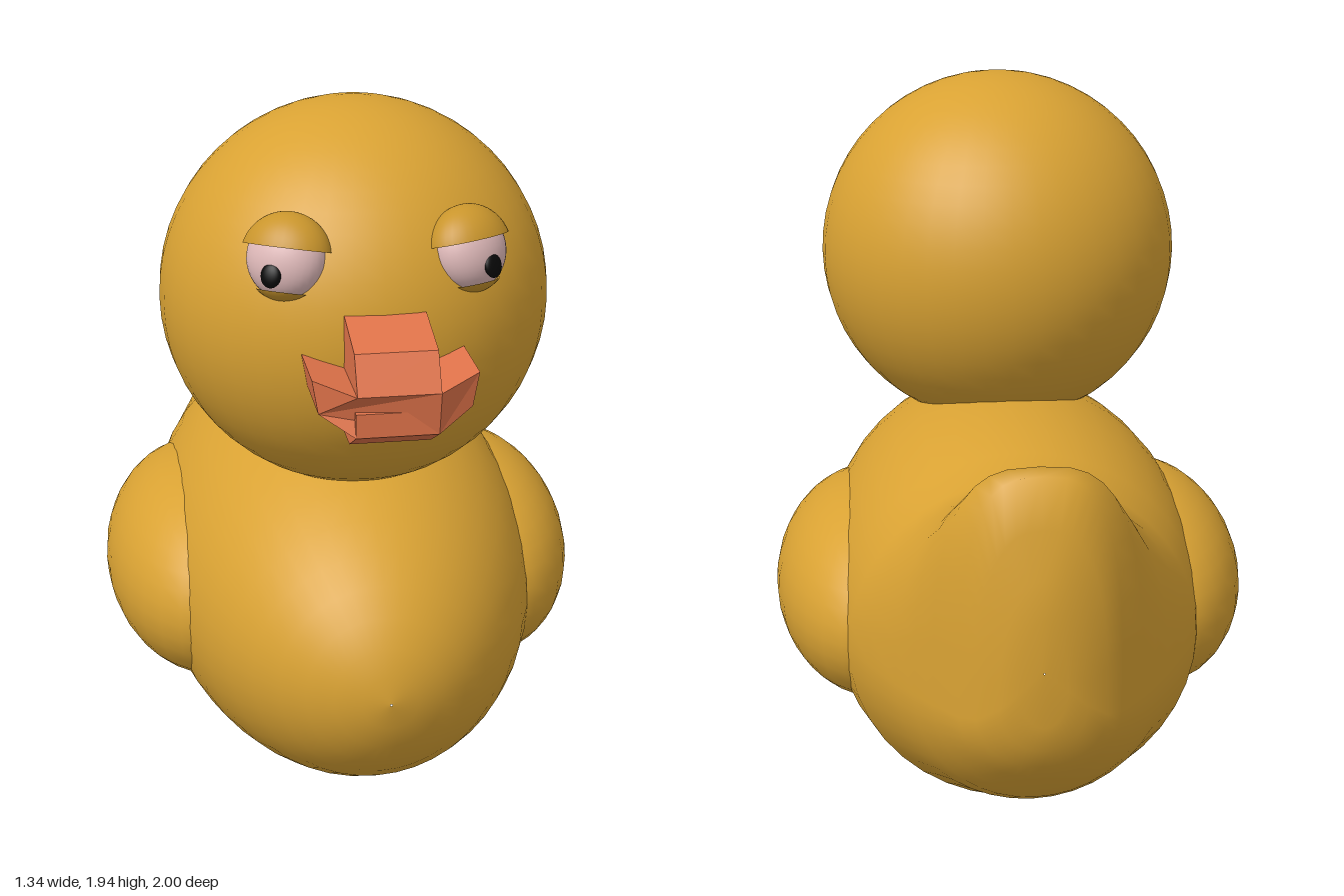
import * as THREE from 'three';

const mat = (color, extra = {}) => new THREE.MeshStandardMaterial({ color, ...extra });
const yellow = mat(0xd9a233);
const lidYellow = mat(0xc9952c, { side: THREE.DoubleSide });
const orange = mat(0xe0734a, { flatShading: true });
const white = mat(0xe0baba);
const black = mat(0x080808);

function add(parent, name, geometry, material, x = 0, y = 0, z = 0) {
  const mesh = new THREE.Mesh(geometry, material);
  mesh.name = name;
  mesh.position.set(x, y, z);
  parent.add(mesh);
  return mesh;
}

// Ellipsoid with optional start and length of the polar angle
const ellipsoid = (rx, ry, rz, start = 0, length = Math.PI) =>
  new THREE.SphereGeometry(1, 32, 20, 0, Math.PI * 2, start, length).scale(rx, ry, rz);

// Body: rings along z, each [z, half width, bottom, middle, top, squareness of the top]
function bodyGeometry() {
  const rings = [];
  for (let i = 0; i <= 16; i++) {
    const t = 0.005 + (i / 16) * 2.075;
    const r = 0.54 * Math.sin(t);
    rings.push([-0.03 + 0.965 * Math.cos(t), r, 0.55 - r, 0.55, 0.55 + r, 1]);
  }
  // Raised tail with a blunt upper rim
  rings.push(
    [-0.6, 0.42, 0.135, 0.55, 1.04, 0.92],
    [-0.72, 0.355, 0.195, 0.55, 1.08, 0.8],
    [-0.79, 0.31, 0.24, 0.55, 1.135, 0.72],
    [-0.85, 0.265, 0.295, 0.55, 1.185, 0.66],
    [-0.92, 0.205, 0.37, 0.55, 1.185, 0.66],
    [-0.955, 0.165, 0.42, 0.56, 1.06, 0.75],
    [-0.985, 0.11, 0.48, 0.6, 0.94, 0.9],
    [-0.998, 0.06, 0.55, 0.65, 0.84, 1],
    [-1.0, 0.002, 0.698, 0.7, 0.702, 1],
  );
  const n = 40, positions = [], index = [];
  rings.forEach(([z, w, bottom, middle, top, power], i) => {
    for (let j = 0; j < n; j++) {
      const a = (j / n) * Math.PI * 2, c = Math.cos(a), s = Math.sin(a);
      const p = s > 0 ? power : 1;
      const x = w * Math.sign(c) * Math.abs(c) ** p;
      const y = middle + (s > 0 ? (top - middle) * s ** p : (middle - bottom) * s);
      positions.push(x, y, z);
      if (i === rings.length - 1) continue;
      const k = (j + 1) % n, r0 = i * n, r1 = r0 + n;
      index.push(r0 + j, r1 + j, r0 + k, r1 + j, r1 + k, r0 + k);
    }
  });
  const g = new THREE.BufferGeometry();
  g.setAttribute('position', new THREE.Float32BufferAttribute(positions, 3));
  g.setIndex(index);
  g.computeVertexNormals();
  return g;
}

const extrude = (points, depth) => new THREE.ExtrudeGeometry(
  new THREE.Shape(points.map(([x, y]) => new THREE.Vector2(x, y))),
  { depth, bevelEnabled: false });

// Beak part from a side profile of [z, y] points, centred on x
const beakProfile = (points, width) =>
  extrude(points, width).translate(0, 0, -width / 2).rotateY(-Math.PI / 2);

// Wide middle of the beak, its outer corners set back
function beakMiddle() {
  const g = extrude([[-0.2, 1.44], [-0.185, 1.355], [-0.1, 1.3], [0.1, 1.3],
    [0.185, 1.355], [0.2, 1.44], [0.1, 1.41], [-0.1, 1.41]], 0.29).translate(0, 0, 0.7);
  const p = g.attributes.position;
  for (let i = 0; i < p.count; i++) {
    if (p.getZ(i) < 0.9) continue;
    const outer = Math.abs(p.getX(i)) > 0.15;
    p.setZ(i, outer ? 0.95 : p.getY(i) > 1.35 ? 1.0 : 0.98);
  }
  g.computeVertexNormals();
  return g;
}

export function createModel() {
  const model = new THREE.Group();
  model.name = 'duck';

  add(model, 'body', bodyGeometry(), yellow);
  add(model, 'head', new THREE.SphereGeometry(0.51, 40, 28), yellow, 0, 1.445, 0.3);

  for (const side of [1, -1]) {
    const label = side > 0 ? 'left' : 'right';
    add(model, label + 'Wing', ellipsoid(0.29, 0.3, 0.5), yellow, side * 0.38, 0.55, -0.02);

    // Sleepy eye, tilted to follow the head
    const eye = new THREE.Group();
    eye.name = label + 'Eye';
    eye.position.set(side * 0.225, 1.66, 0.69);
    eye.rotation.set(-0.3, side * 0.55, 0, 'YXZ');
    add(eye, 'eyeball', ellipsoid(0.1, 0.1, 0.075), white);
    add(eye, 'upperLid', ellipsoid(0.115, 0.112, 0.088, 0, Math.PI * 0.43), lidYellow);
    add(eye, 'lowerLid', ellipsoid(0.106, 0.106, 0.082, Math.PI * 0.78, Math.PI * 0.22), lidYellow);
    add(eye, 'pupil', ellipsoid(0.026, 0.03, 0.012), black, side * 0.005, -0.045, 0.067);
    model.add(eye);
  }

  const beak = new THREE.Group();
  beak.name = 'beak';
  add(beak, 'upperBeak', beakProfile(
    [[0.7, 1.41], [1.0, 1.41], [0.95, 1.5], [0.8, 1.54], [0.7, 1.54]], 0.2), orange);
  add(beak, 'middleBeak', beakMiddle(), orange);
  add(beak, 'lowerBeak', beakProfile(
    [[0.7, 1.245], [0.88, 1.245], [0.98, 1.3], [0.98, 1.36], [0.7, 1.36]], 0.2), orange);
  model.add(beak);

  return model;
}
